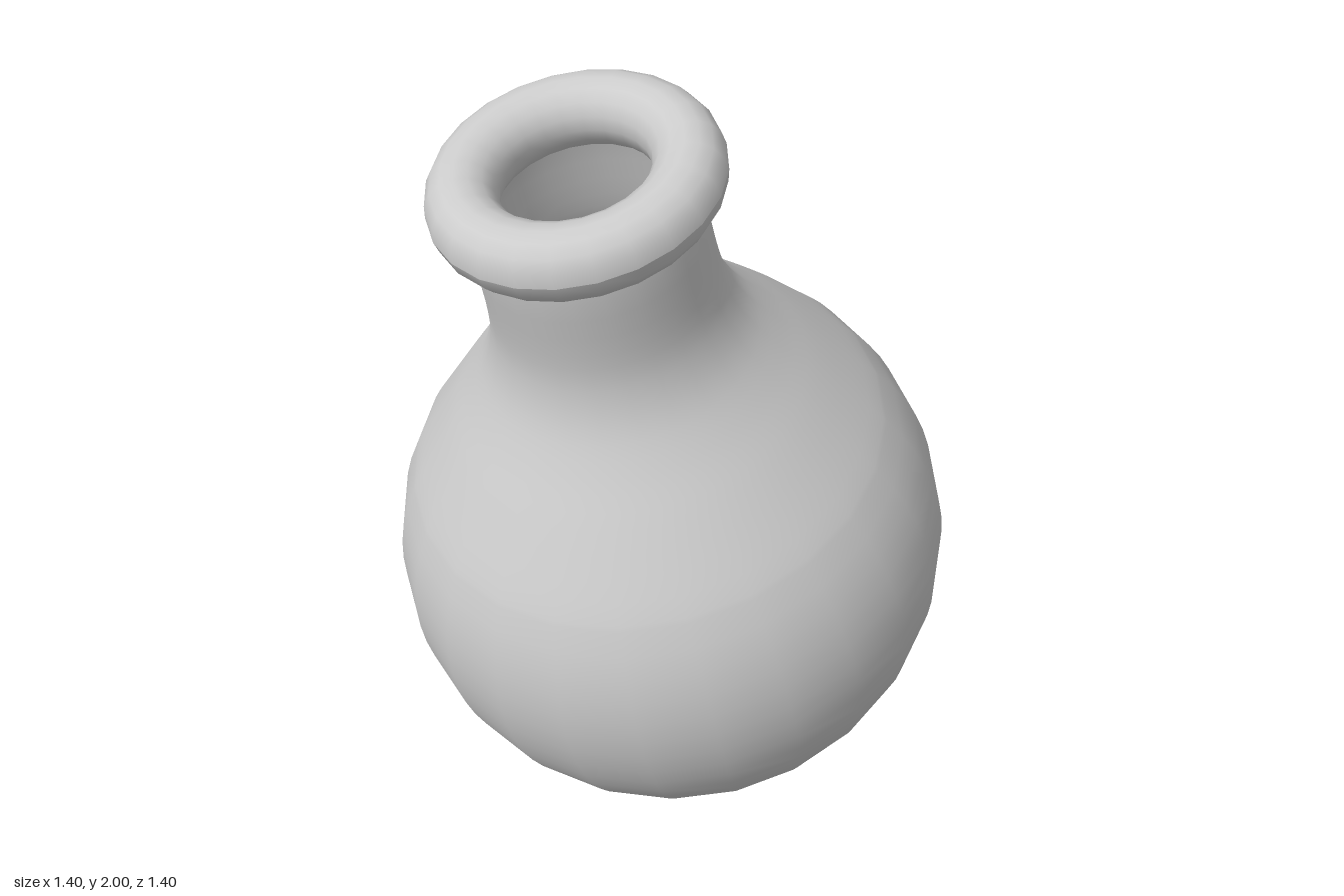
import * as THREE from 'three';

const SIDES = 24;
const PHASE = 0.08;
const RADIUS = 0.703;

export function createModel() {
  const model = new THREE.Group();
  model.name = 'flask';
  const material = new THREE.MeshStandardMaterial({ color: 0xcccccc, side: THREE.DoubleSide });

  const turn = (name, points) => {
    const mesh = new THREE.Mesh(new THREE.LatheGeometry(points, SIDES, PHASE), material);
    mesh.name = name;
    return mesh;
  };

  // Everything is turned on one leaning axis through the centre of the bulb
  const vessel = new THREE.Group();
  vessel.name = 'vessel';
  vessel.position.y = RADIUS;
  vessel.quaternion.setFromUnitVectors(
    new THREE.Vector3(0, 1, 0),
    new THREE.Vector3(-0.22, 1.15, 0.228).normalize()
  );
  model.add(vessel);

  // Round bulb flowing into the narrow neck, a thin open shell
  const profile = [];
  const arcSteps = 24;
  const arcEnd = THREE.MathUtils.degToRad(128);
  for (let i = 0; i <= arcSteps; i++) {
    const a = (arcEnd * i) / arcSteps;
    profile.push(new THREE.Vector2(Math.sin(a) * RADIUS, -Math.cos(a) * RADIUS));
  }
  const shoulder = new THREE.SplineCurve([
    profile[arcSteps - 1],
    profile[arcSteps],
    new THREE.Vector2(0.453, 0.56),
    new THREE.Vector2(0.375, 0.655),
    new THREE.Vector2(0.313, 0.745),
    new THREE.Vector2(0.278, 0.835),
    new THREE.Vector2(0.265, 0.93),
    new THREE.Vector2(0.26, 1.08),
    new THREE.Vector2(0.247, 1.17),
  ]);
  profile.splice(arcSteps - 1, 2, ...shoulder.getPoints(24));
  vessel.add(turn('bulbAndNeck', profile));

  // Thick rolled lip
  const lip = [];
  for (let i = 0; i <= 16; i++) {
    const a = (i / 16) * Math.PI * 2;
    lip.push(new THREE.Vector2(0.246 + Math.cos(a) * 0.081, 1.194 + Math.sin(a) * 0.081));
  }
  vessel.add(turn('lip', lip));

  return model;
}
